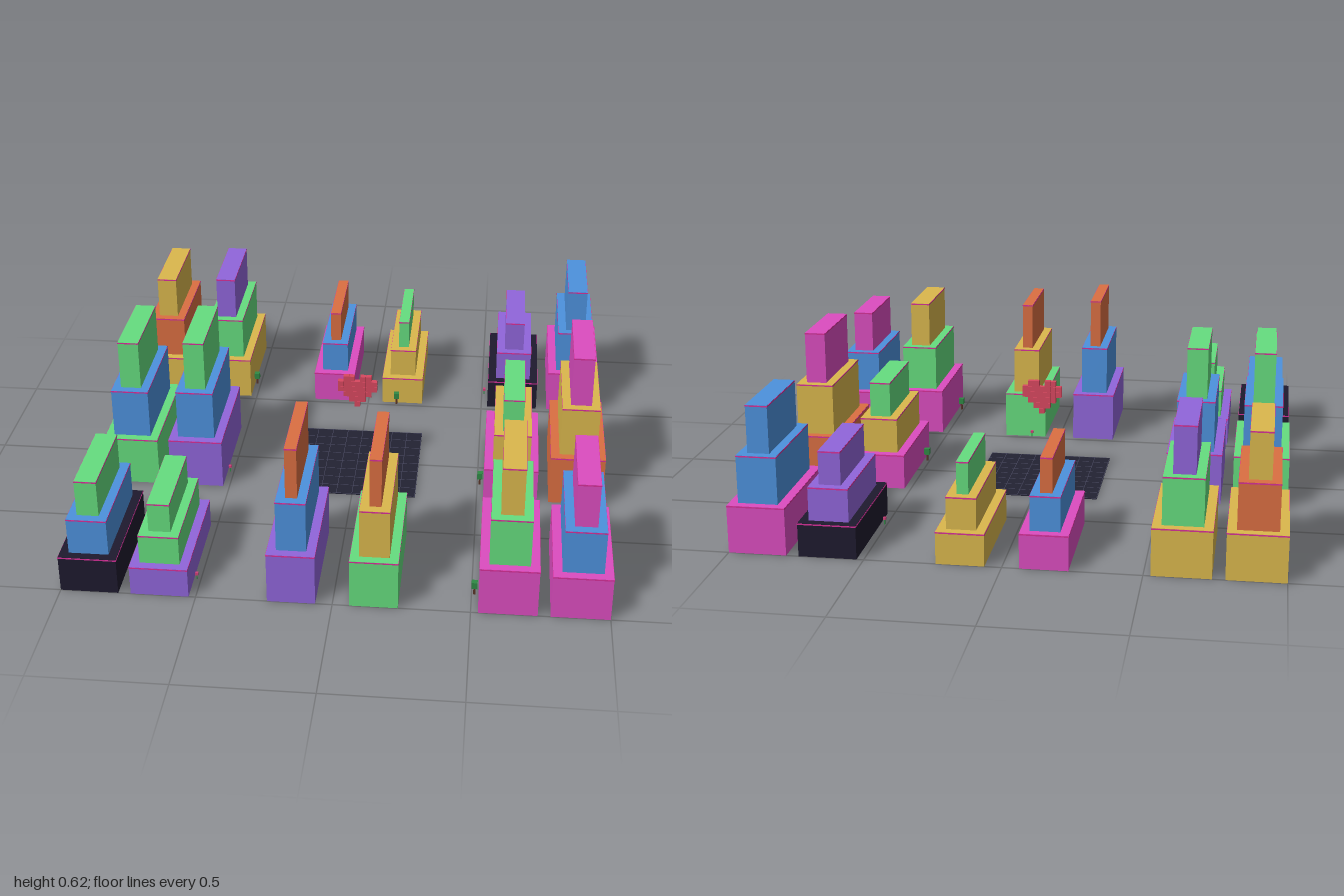
import * as THREE from 'three';

const COLORS = {
  green: 0x66de7f, blue: 0x4d92de, purple: 0x9166db, black: 0x1e1a2e,
  pink: 0xdc4dc0, yellow: 0xdbb84d, orange: 0xdb6f42,
  heart: 0xd94860, floor: 0x222233, line: 0x4a4a62, trim: 0xd8309a,
  leaf: 0x2f8a45, bark: 0x5a3428, bloom: 0xd0407a,
};
const materials = {};
for (const key in COLORS) materials[key] = new THREE.MeshStandardMaterial({ color: COLORS[key] });

function box(parent, name, color, size, pos) {
  const mesh = new THREE.Mesh(new THREE.BoxGeometry(...size), materials[color]);
  mesh.name = name;
  mesh.position.set(...pos);
  parent.add(mesh);
  return mesh;
}

// Columns: centre x and ground width; rows: centre z
const COLUMNS = [[-0.893, 0.214], [-0.633, 0.214], [-0.15, 0.176], [0.15, 0.176], [0.633, 0.214], [0.893, 0.214]];
const ROWS = [-0.7625, 0, 0.7625];
const LENGTH = 0.475;
const INSET = 0.0665;

// [column, row, total height, tier colours from the ground up]
const TOWERS = [
  [0, 0, 0.525, 'yellow', 'orange', 'yellow'],
  [1, 0, 0.535, 'yellow', 'green', 'purple'],
  [2, 0, 0.395, 'pink', 'blue', 'orange'],
  [3, 0, 0.365, 'yellow', 'yellow', 'green'],
  [4, 0, 0.38, 'black', 'purple', 'purple'],
  [5, 0, 0.54, 'pink', 'blue', 'blue'],
  [0, 1, 0.6, 'green', 'blue', 'green'],
  [1, 1, 0.61, 'purple', 'blue', 'green'],
  [4, 1, 0.42, 'pink', 'yellow', 'green'],
  [5, 1, 0.615, 'orange', 'yellow', 'pink'],
  [0, 2, 0.43, 'black', 'blue', 'green'],
  [1, 2, 0.35, 'purple', 'green', 'green'],
  [2, 2, 0.607, 'purple', 'blue', 'orange'],
  [3, 2, 0.58, 'green', 'yellow', 'orange'],
  [4, 2, 0.57, 'pink', 'green', 'yellow'],
  [5, 2, 0.52, 'pink', 'blue', 'pink'],
];

// Three stepped tiers, each with a thin band just below its roof edge
function tower([column, row, height, ...colors]) {
  const group = new THREE.Group();
  group.name = 'tower';
  const [x, width] = COLUMNS[column];
  group.position.set(x, 0, ROWS[row]);
  const h = height / 3;
  colors.forEach((color, i) => {
    const w = width - i * INSET, d = LENGTH - i * INSET;
    box(group, 'tier', color, [w, h, d], [0, h * (i + 0.5), 0]);
    box(group, 'roofBand', 'trim', [w + 0.002, 0.005, d + 0.002], [0, h * (i + 1) - 0.0035, 0]);
  });
  return group;
}

function tree(x, z) {
  const group = new THREE.Group();
  group.name = 'tree';
  group.position.set(x, 0, z);
  box(group, 'trunk', 'bark', [0.008, 0.028, 0.008], [0, 0.014, 0]);
  box(group, 'foliage', 'leaf', [0.022, 0.026, 0.022], [0, 0.041, 0]);
  return group;
}

function flower(x, z) {
  const group = new THREE.Group();
  group.name = 'flower';
  group.position.set(x, 0, z);
  box(group, 'stem', 'leaf', [0.004, 0.018, 0.004], [0, 0.009, 0]);
  box(group, 'blossom', 'bloom', [0.011, 0.01, 0.011], [0, 0.023, 0]);
  return group;
}

// Heart of small cubes floating above the plaza
function heart() {
  const group = new THREE.Group();
  group.name = 'heart';
  const cell = 0.0228;
  const rows = ['.##.##.', '#######', '#######', '.#####.', '..###..', '...#...'];
  rows.forEach((row, j) => [...row].forEach((c, i) => {
    if (c === '#') box(group, 'heartCube', 'heart', [cell * 0.97, cell * 0.97, cell * 0.97],
      [(i - 3) * cell, 0.407 - (j + 0.5) * cell, 0]);
  }));
  return group;
}

// Flat square with an inlaid grid
function plaza() {
  const group = new THREE.Group();
  group.name = 'plaza';
  const size = 0.508;
  box(group, 'plazaFloor', 'floor', [size, 0.004, size], [0, 0.002, 0]);
  for (let i = 0; i <= 8; i++) {
    const p = (i / 8 - 0.5) * (size - 0.002);
    box(group, 'gridLine', 'line', [0.002, 0.001, size], [p, 0.0043, 0]);
    box(group, 'gridLine', 'line', [size, 0.001, 0.002], [0, 0.0042, p]);
  }
  return group;
}

export function createModel() {
  const model = new THREE.Group();
  model.name = 'blockCity';
  TOWERS.forEach((t) => model.add(tower(t)));
  model.add(plaza(), heart());
  // Street plants beside the inner tower walls
  [[-0.515, -0.645], [0.125, -0.515], [0.885, -0.515], [0.51, 0.125], [0.51, 0.885], [-0.645, 0.515]]
    .forEach(([x, z]) => model.add(tree(x, z)));
  [[-0.64, -0.515], [-0.515, 0.12], [0.51, -0.64], [0.12, 0.515], [0.885, 0.515], [-0.515, 0.885]]
    .forEach(([x, z]) => model.add(flower(x, z)));
  return model;
}
